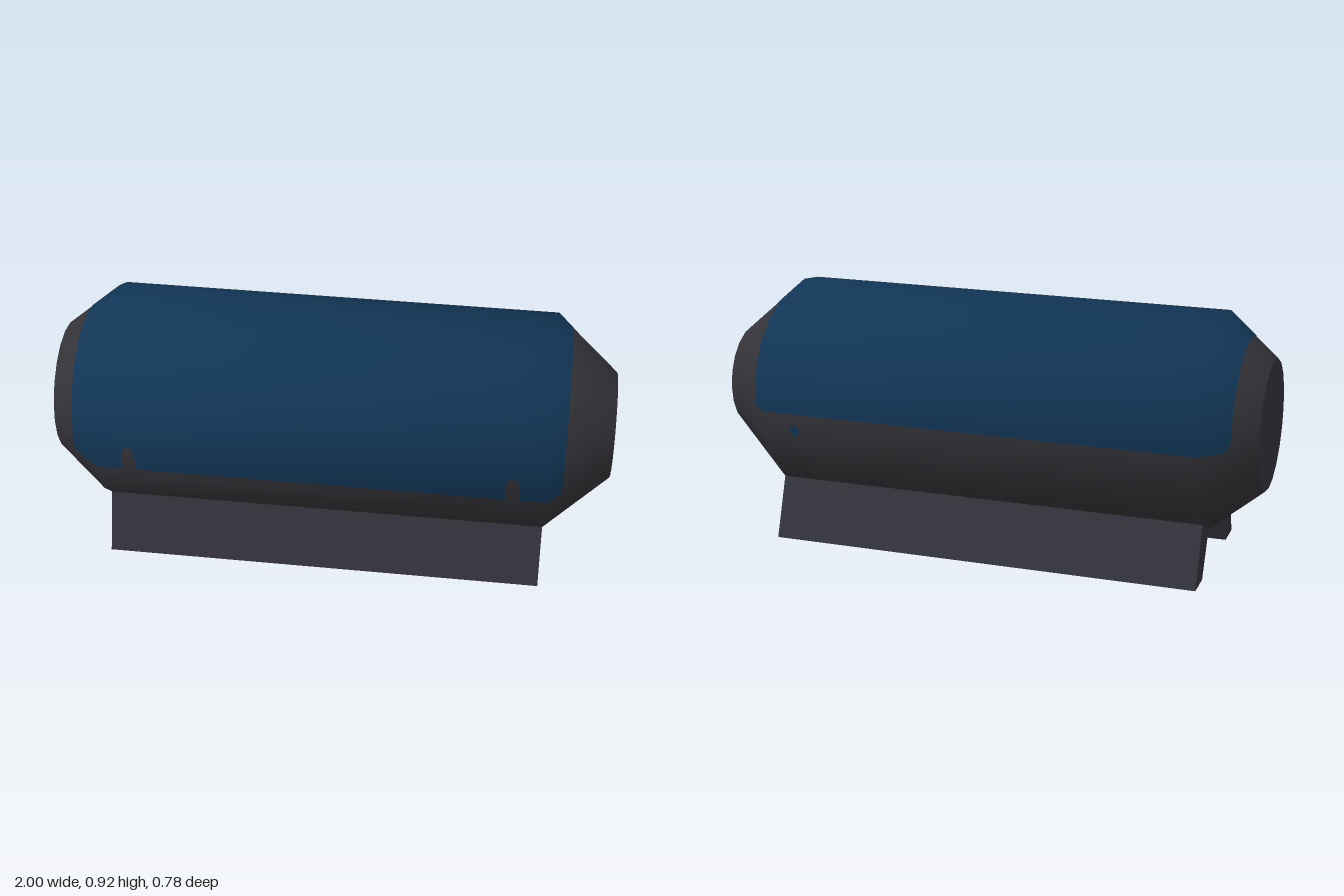
import * as THREE from 'three';

const CENTRE_Y = 0.53, SIDES = 20, STEP = Math.PI * 2 / SIDES;
// tank profile along x: position, radius, normal tilt towards x
const PROFILE = [[-1, 0.235, -0.637], [-0.815, 0.388, -0.34], [0.775, 0.388, 0.355], [1, 0.19, 0.66]];

const lerp = THREE.MathUtils.lerp, clamp = THREE.MathUtils.clamp;

// radius and normal tilt at any x
function section(x) {
  let i = 0;
  while (i < 2 && x > PROFILE[i + 1][0]) i++;
  const a = PROFILE[i], b = PROFILE[i + 1], t = (x - a[0]) / (b[0] - a[0]);
  return { r: lerp(a[1], b[1], t), tilt: lerp(a[2], b[2], t) };
}

// patch of the faceted tank skin; angles run from front (0) over the top to the back (PI)
function skinPatch(xs, firstRow, lastRow, limits, lift = 0) {
  const pos = [], nor = [], idx = [], rows = lastRow - firstRow + 1;
  xs.forEach((x, i) => {
    const { r, tilt } = section(x);
    const [lo, hi] = limits(x, r);
    const radial = Math.sqrt(1 - tilt * tilt);
    for (let j = 0; j < rows; j++) {
      const a = clamp((firstRow + j) * STEP, lo, hi);
      const off = a - Math.floor(a / STEP + 1e-6) * STEP - STEP / 2;
      const rr = r * Math.cos(STEP / 2) / Math.cos(off) + lift;
      pos.push(x + tilt * lift, CENTRE_Y + rr * Math.sin(a), rr * Math.cos(a));
      nor.push(tilt, radial * Math.sin(a), radial * Math.cos(a));
      if (i && j) {
        const d = i * rows + j, c = d - 1, b = d - rows, e = b - 1;
        idx.push(e, c, d, e, d, b);
      }
    }
  });
  const g = new THREE.BufferGeometry();
  g.setAttribute('position', new THREE.Float32BufferAttribute(pos, 3));
  g.setAttribute('normal', new THREE.Float32BufferAttribute(nor, 3));
  g.setIndex(idx);
  return g;
}

function range(from, to, n) {
  return Array.from({ length: n + 1 }, (_, i) => lerp(from, to, i / n));
}

// rounded-corner rise near an end of the paint
function corner(distance, radius) {
  const d = Math.max(0, radius - distance);
  return radius - Math.sqrt(Math.max(0, radius * radius - d * d));
}

const X0 = -0.915, X1 = 0.83;
const NOTCHES = [[-0.698, 0.026], [0.658, 0.024]];

// lower edges of the paint: notched at the front, plain at the back
function paintLimits(x, r) {
  let front = 0.455 + corner(X1 - x, 0.03);
  for (const [cx, half] of NOTCHES) {
    const d = Math.abs(x - cx) / half;
    if (d < 1) front += 0.1 * Math.pow(1 - d ** 4, 0.25);
  }
  const back = 0.517 + corner(X1 - x, 0.035) + corner(x - X0, 0.035);
  return [Math.asin((front - CENTRE_Y) / r), Math.PI - Math.asin((back - CENTRE_Y) / r)];
}

export function createModel() {
  const group = new THREE.Group();
  const mat = (name, color) => Object.assign(new THREE.MeshStandardMaterial({ color }), { name });
  const shell = mat('charcoal shell', 0x333338);
  const metal = mat('slate metal', 0x34333d);
  const blue = mat('navy paint', 0x113556);
  const add = (name, geometry, material) => {
    const m = new THREE.Mesh(geometry, material);
    m.name = name;
    group.add(m);
    return m;
  };

  // tank body
  add('tankBody', skinPatch(PROFILE.map(p => p[0]), 0, SIDES, () => [0, Math.PI * 2]), shell);

  // flat end caps
  for (const [side, i] of [[-1, 0], [1, 3]]) {
    const cap = add(side > 0 ? 'leftEndCap' : 'rightEndCap', new THREE.CircleGeometry(PROFILE[i][1], SIDES), metal);
    cap.rotation.y = side * Math.PI / 2;
    cap.position.set(side, CENTRE_Y, 0);
  }

  // painted upper cover, with columns packed around corners and notches
  const xs = [...range(X0, X0 + 0.035, 6), -0.815];
  for (const [cx, half] of NOTCHES) xs.push(...range(cx - half - 0.0005, cx + half + 0.0005, 24));
  xs.push(0.775, ...range(X1 - 0.035, X1, 8));
  add('paintedCover', skinPatch(xs, -1, 11, paintLimits, 0.002), blue);

  // small painted spot on the back
  const spotX = 0.66, spotHalf = 0.018, spotAngle = Math.PI + 0.205;
  const spotLimits = x => {
    const h = 0.06 * Math.sqrt(Math.max(0, 1 - ((x - spotX) / spotHalf) ** 2));
    return [spotAngle - h, spotAngle + h];
  };
  add('backSpot', skinPatch(range(spotX - spotHalf, spotX + spotHalf, 10), 10, 11, spotLimits, 0.002), blue);

  // splayed support rails, meeting the tank along one facet
  for (const s of [1, -1]) {
    const shape = new THREE.Shape([[0.228, 0.216], [0.308, 0], [0.2, 0], [0.12, 0.161]]
      .map(([z, y]) => new THREE.Vector2(-s * z, y)));
    const rail = add(s > 0 ? 'frontRail' : 'backRail',
      new THREE.ExtrudeGeometry(shape, { depth: 1.59, bevelEnabled: false }), metal);
    rail.rotation.y = Math.PI / 2;
    rail.position.x = -0.815;
  }
  return group;
}
